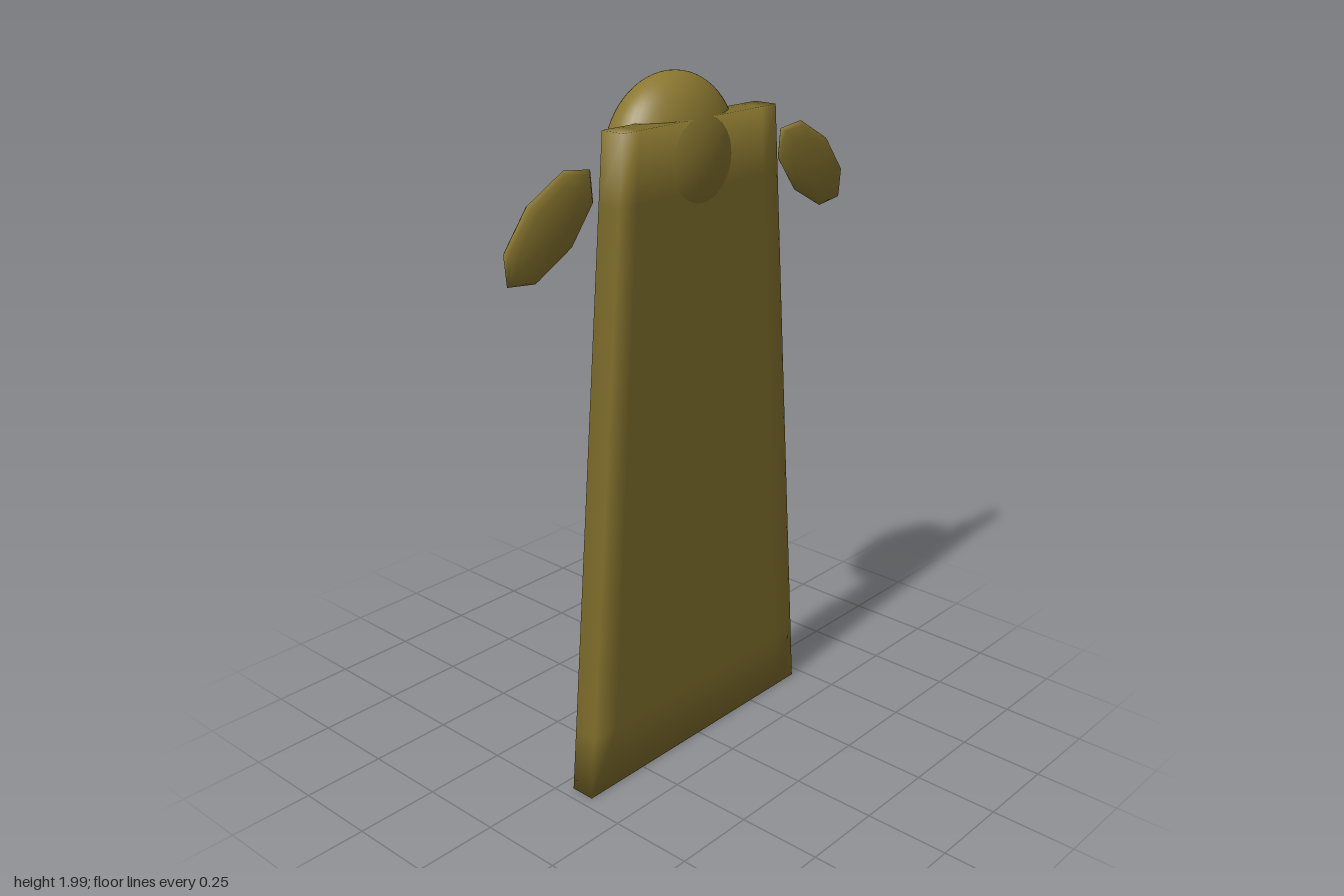
import * as THREE from 'three';

export function createModel() {
  const group = new THREE.Group();
  const olive = new THREE.MeshStandardMaterial({ color: 0x8a7730 });
  olive.name = 'olive';

  const add = (name, geometry) => {
    const mesh = new THREE.Mesh(geometry, olive);
    mesh.name = name;
    group.add(mesh);
    return mesh;
  };

  // Head: smooth ellipsoid sitting in the top of the robe
  const head = new THREE.SphereGeometry(1, 48, 32);
  head.scale(0.223, 0.223, 0.134);
  add('head', head).position.set(0, 1.777, 0);

  // Robe: tapered slab whose soft normals blend around its edges
  const robe = new THREE.BoxGeometry(2, 2, 2, 10, 10, 1);
  const pos = robe.attributes.position;
  const nor = robe.attributes.normal;
  const edge = (v) => (Math.abs(v) > 0.999 ? Math.sign(v) : 0);
  const n = new THREE.Vector3();
  for (let i = 0; i < pos.count; i++) {
    const x = pos.getX(i), y = pos.getY(i), z = pos.getZ(i);
    n.set(edge(x), edge(y), edge(z)).normalize();
    nor.setXYZ(i, n.x, n.y, n.z);
    const t = (y + 1) / 2;
    pos.setXYZ(i, x * THREE.MathUtils.lerp(0.465, 0.305, t), 0.008 + t * 1.879, 0.077 + z * 0.037);
  }
  add('robe', robe);

  // Hands: flat, slanted eight-sided ellipsoids floating beside the shoulders
  for (const side of [1, -1]) {
    const long = new THREE.Vector3(-0.145 * side, 0.122, 0);
    const short = new THREE.Vector3(0.072 * side, 0.066, 0);
    const depth = new THREE.Vector3(0, 0, 0.025);
    const basis = new THREE.Matrix4();
    if (side > 0) basis.makeBasis(short, long, depth);
    else basis.makeBasis(long, short, depth);
    const hand = new THREE.SphereGeometry(1, 8, 8);
    hand.rotateX(Math.PI / 2);
    hand.applyMatrix4(basis);
    add(side > 0 ? 'leftHand' : 'rightHand', hand).position.set(0.527 * side, 1.682, 0.073);
  }

  return group;
}
